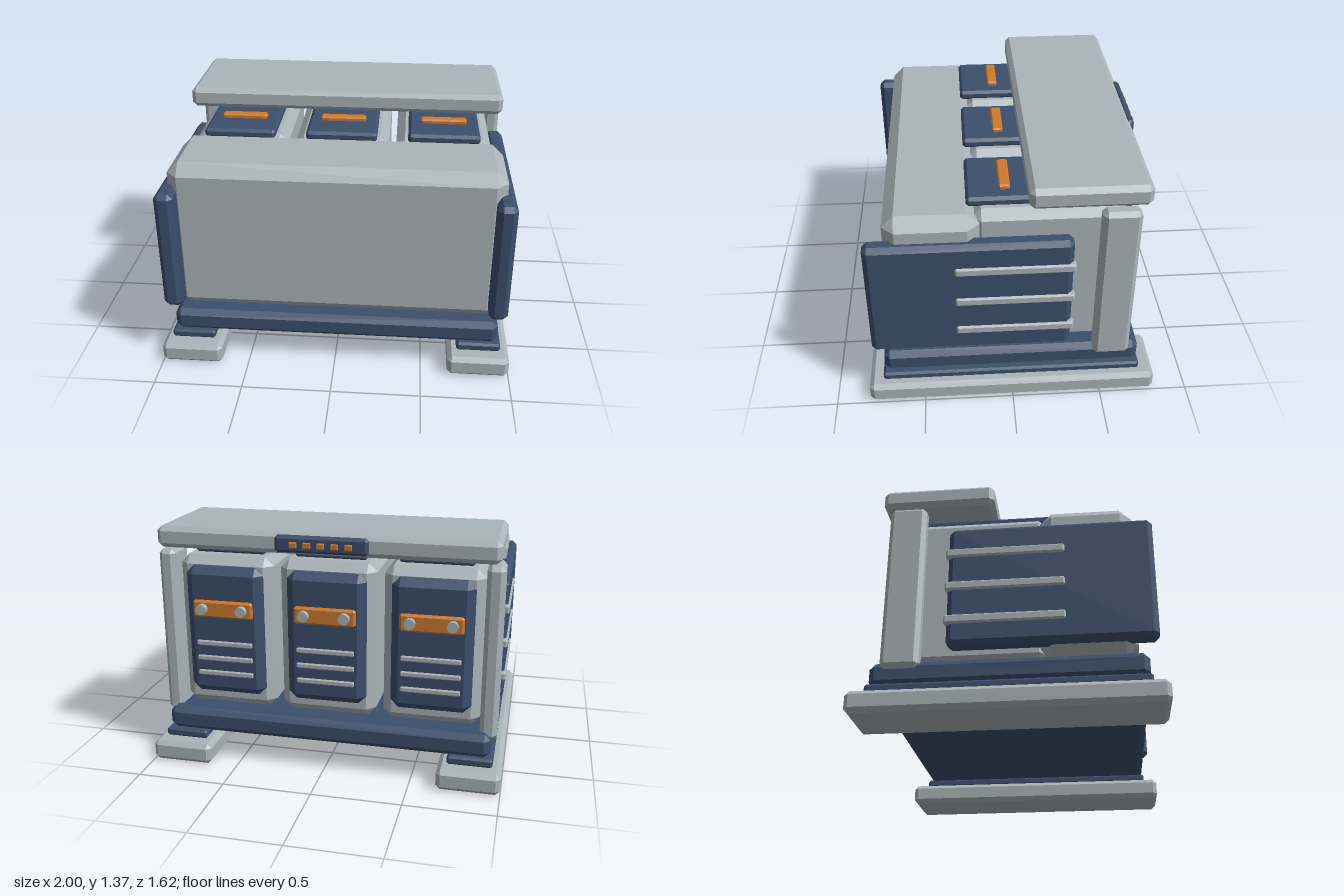
import * as THREE from 'three';
import { ConvexGeometry } from 'three/addons/geometries/ConvexGeometry.js';

const paint = (name, color) => {
  const m = new THREE.MeshStandardMaterial({ color });
  m.name = name;
  return m;
};

// Box with chamfered edges, given by its min/max range on each axis
function chamferBox(x, y, z, c) {
  const half = [x, y, z].map(([a, b]) => (b - a) / 2);
  const mid = [x, y, z].map(([a, b]) => (a + b) / 2);
  const points = [];
  for (const sx of [-1, 1]) for (const sy of [-1, 1]) for (const sz of [-1, 1]) {
    const s = [sx, sy, sz];
    for (let outer = 0; outer < 3; outer++) {
      points.push(new THREE.Vector3(...s.map((v, i) => v * (half[i] - (i === outer ? 0 : c)))));
    }
  }
  return new ConvexGeometry(points).translate(...mid);
}

export function createModel() {
  const grey = paint('light grey', 0xaab5ba);
  const navy = paint('navy', 0x3c4f6c);
  const orange = paint('orange', 0xcc7a2e);

  const model = new THREE.Group();
  model.name = 'powerUnit';

  const add = (parent, name, geometry, material) => {
    const mesh = new THREE.Mesh(geometry, material);
    mesh.name = name;
    parent.add(mesh);
    return mesh;
  };
  const box = (parent, name, material, x, y, z, c) =>
    add(parent, name, chamferBox(x, y, z, c), material);

  // Base and front housing
  box(model, 'base', navy, [-0.93, 0.93], [0.165, 0.3], [-0.715, 0.72], 0.032);
  box(model, 'frontHousing', grey, [-0.925, 0.925], [0.3, 1.197], [0.17, 0.672], 0.065);

  // Skids, side shields and rear posts, mirrored left and right
  for (const s of [-1, 1]) {
    const side = new THREE.Group();
    side.name = s > 0 ? 'leftSide' : 'rightSide';
    model.add(side);
    const span = (a, b) => (s > 0 ? [a, b] : [-b, -a]);
    box(side, 'skid', grey, span(0.65, 1), [0, 0.12], [-0.81, 0.81], 0.025);
    box(side, 'skidPad', navy, span(0.7, 0.95), [0.12, 0.17], [-0.725, 0.73], 0.012);
    box(side, 'sideShield', navy, span(0.865, 0.97), [0.36, 1.067], [-0.315, 0.775], 0.027);
    for (const y of [0.505, 0.703, 0.904]) {
      box(side, 'shieldRail', grey, span(0.93, 0.98), [y - 0.026, y + 0.026], [-0.328, 0.307], 0.01);
    }
    box(side, 'rearPost', grey, span(0.865, 0.96), [0.255, 1.228], [-0.655, -0.452], 0.024);
  }

  // Three identical cells with lids and rear hatches
  for (const cx of [-0.588, 0, 0.588]) {
    const cell = new THREE.Group();
    cell.name = 'cell';
    cell.position.x = cx;
    model.add(cell);
    box(cell, 'cellBody', grey, [-0.273, 0.273], [0.298, 1.192], [-0.605, 0.21], 0.05);
    box(cell, 'lid', navy, [-0.205, 0.205], [1.185, 1.24], [-0.51, 0.237], 0.016);
    box(cell, 'lidHandle', orange, [-0.132, 0.132], [1.235, 1.267], [0.003, 0.063], 0.008);
    box(cell, 'roofMount', navy, [-0.03, 0.03], [1.235, 1.256], [-0.333, -0.27], 0.004);

    box(cell, 'rearHatch', navy, [-0.225, 0.225], [0.385, 1.14], [-0.653, -0.53], 0.045);
    box(cell, 'terminalPlate', orange, [-0.175, 0.175], [0.85, 0.95], [-0.672, -0.64], 0.012);
    for (const tx of [-0.115, 0.115]) {
      const terminal = new THREE.CylinderGeometry(0.03, 0.03, 0.05, 16).rotateX(Math.PI / 2);
      add(cell, 'terminal', terminal, grey).position.set(tx, 0.903, -0.678);
    }
    for (const y of [0.515, 0.605, 0.695]) {
      box(cell, 'louvre', grey, [-0.165, 0.165], [y - 0.015, y + 0.015], [-0.665, -0.64], 0.006);
    }
  }

  // Roof slab with the rear indicator bar
  box(model, 'roof', grey, [-0.94, 0.94], [1.25, 1.37], [-0.705, -0.08], 0.027);
  box(model, 'indicatorBar', navy, [-0.255, 0.255], [1.265, 1.357], [-0.73, -0.685], 0.015);
  for (let i = -2; i <= 2; i++) {
    const x = i * 0.075;
    box(model, 'indicator', orange, [x - 0.021, x + 0.021], [1.293, 1.325], [-0.743, -0.72], 0.004);
  }

  return model;
}
